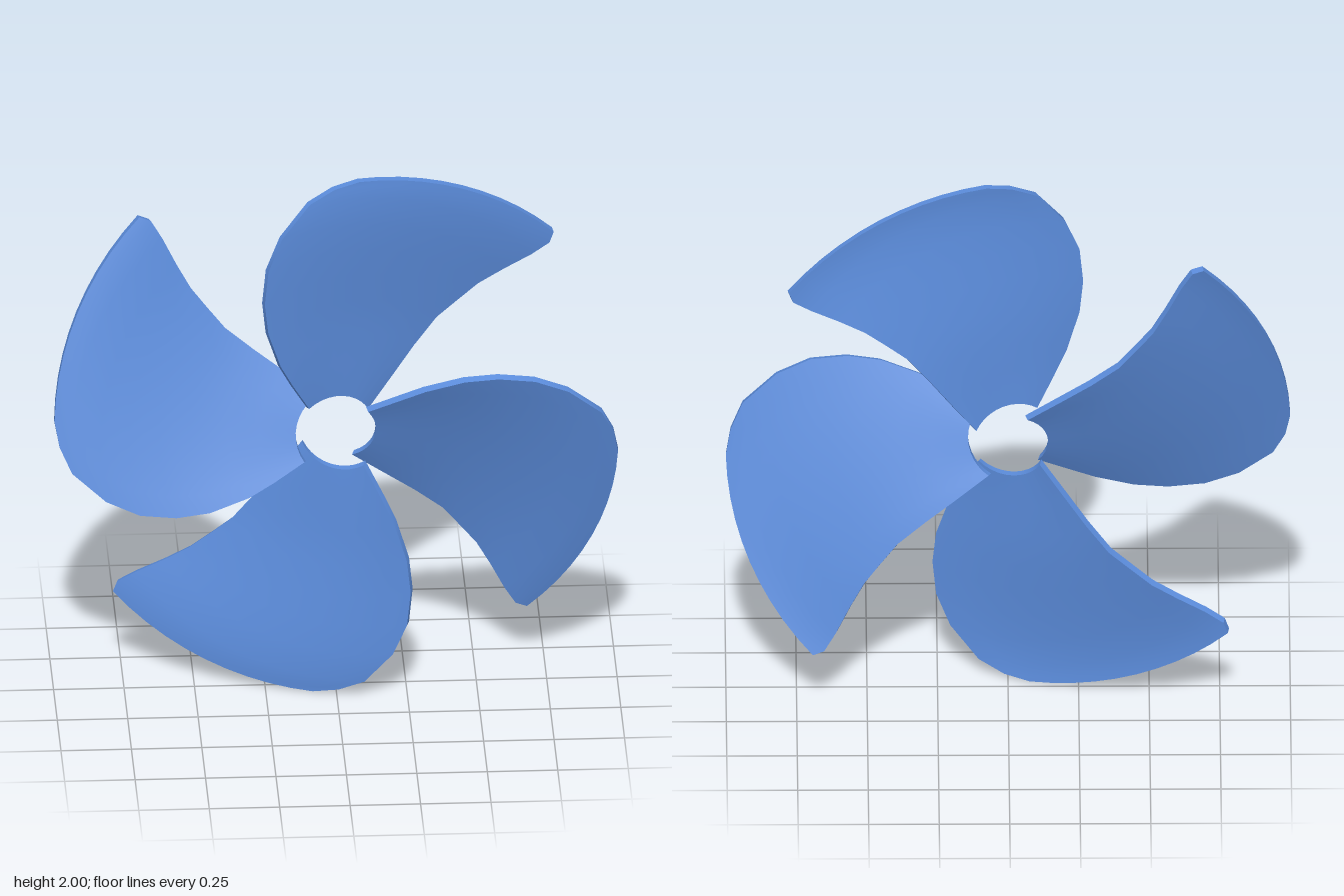
import * as THREE from 'three';
import { toCreasedNormals } from 'three/addons/utils/BufferGeometryUtils.js';

// Blade sections from root to tip: leading edge point, trailing edge point
const SECTIONS = [
  [[-0.10, 0.11, 0.055], [0.115, 0.065, -0.045]],
  [[-0.16, 0.22, 0.095], [0.20, 0.18, -0.07]],
  [[-0.205, 0.31, 0.12], [0.28, 0.29, -0.09]],
  [[-0.25, 0.45, 0.142], [0.36, 0.39, -0.105]],
  [[-0.263, 0.57, 0.15], [0.44, 0.455, -0.115]],
  [[-0.25, 0.70, 0.15], [0.51, 0.51, -0.125]],
  [[-0.20, 0.82, 0.135], [0.60, 0.56, -0.133]],
  [[-0.10, 0.94, 0.105], [0.70, 0.61, -0.143]],
  [[-0.01, 0.983, 0.075], [0.765, 0.65, -0.152]],
  [[0.08, 1.0, 0.05], [0.78, 0.69, -0.155]],
];
const STEPS = 10;
const HALF = 0.014; // half of the blade thickness

// Each section is an arc about the hub axis that winds back like a screw
function bladeGeometry() {
  const positions = [], index = [];
  const ring = 2 * (STEPS + 1);

  for (const [lead, trail] of SECTIONS) {
    const a0 = Math.atan2(lead[0], lead[1]), a1 = Math.atan2(trail[0], trail[1]);
    const r0 = Math.hypot(lead[0], lead[1]), r1 = Math.hypot(trail[0], trail[1]);
    const slope = (trail[2] - lead[2]) / ((a1 - a0) * (r0 + r1) / 2);
    const len = Math.hypot(1, slope);
    for (let k = 0; k < ring; k++) {
      const front = k <= STEPS;
      const t = (front ? k : ring - 1 - k) / STEPS;
      const h = (front ? HALF : -HALF) / len;
      const a = a0 + (a1 - a0) * t, r = r0 + (r1 - r0) * t;
      positions.push(
        r * Math.sin(a) - slope * h * Math.cos(a),
        r * Math.cos(a) + slope * h * Math.sin(a),
        lead[2] + (trail[2] - lead[2]) * t + h
      );
    }
  }

  const quad = (a, b, c, d) => index.push(a, b, c, a, c, d);
  // Front, back and both edges
  for (let i = 0; i < SECTIONS.length - 1; i++) {
    for (let k = 0; k < ring; k++) {
      const a = i * ring + k, b = i * ring + (k + 1) % ring;
      quad(a, b, b + ring, a + ring);
    }
  }
  // Root and tip ends
  const last = (SECTIONS.length - 1) * ring;
  for (let j = 0; j < STEPS; j++) {
    const back = ring - 1 - j;
    quad(j, back, back - 1, j + 1);
    quad(last + j, last + j + 1, last + back - 1, last + back);
  }

  const geometry = new THREE.BufferGeometry();
  geometry.setAttribute('position', new THREE.Float32BufferAttribute(positions, 3));
  geometry.setIndex(index);
  return toCreasedNormals(geometry, 0.6);
}

export function createModel() {
  const model = new THREE.Group();
  model.name = 'propeller';
  const blue = new THREE.MeshStandardMaterial({ color: 0x5b8cdb });
  blue.name = 'blue';

  // Four equal blades around the hub axis
  const geometry = bladeGeometry();
  for (let i = 0; i < 4; i++) {
    const blade = new THREE.Mesh(geometry, blue);
    blade.name = `blade${i + 1}`;
    blade.position.y = 1;
    blade.rotation.z = -i * Math.PI / 2;
    model.add(blade);
  }
  return model;
}
